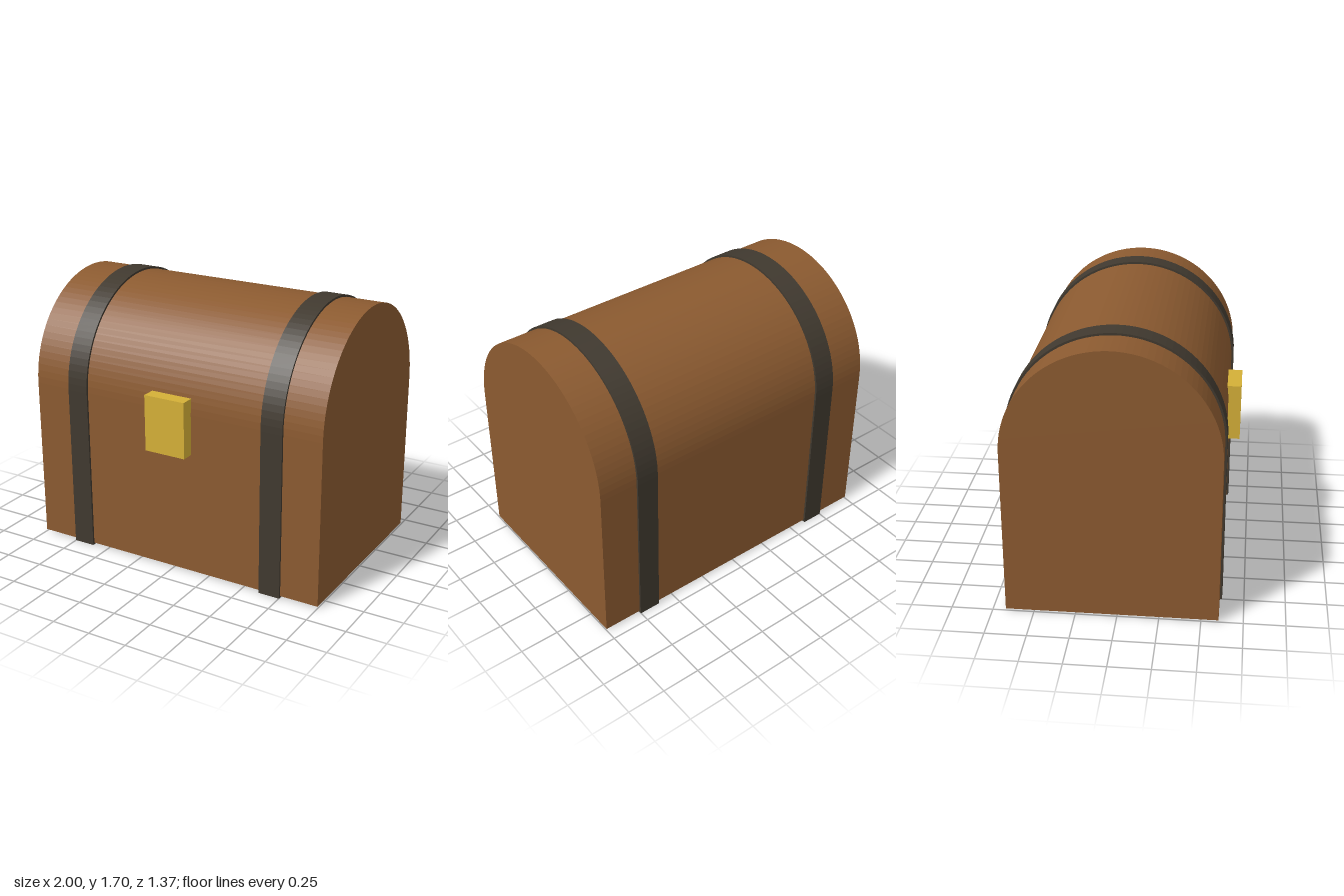
import * as THREE from 'three';

const wood = new THREE.MeshStandardMaterial({ name: 'brown wood', color: 0x8b5a30 });
const iron = new THREE.MeshStandardMaterial({ name: 'dark iron', color: 0x40392f });
const brass = new THREE.MeshStandardMaterial({ name: 'brass', color: 0xd4af37 });

const CENTER_Z = -0.033; // the lock protrudes, so the chest sits slightly back
const SPRING_Y = 1.05; // height where the rounded lid begins

// Upright box outline with a half-round top
function archPath(path, radius, bottom) {
  path.moveTo(-radius, bottom);
  path.lineTo(radius, bottom);
  path.lineTo(radius, SPRING_Y);
  path.absarc(0, SPRING_Y, radius, 0, Math.PI, false);
  path.closePath();
  return path;
}

// Extrude an outline along x, centred on the given x
function extrudeAlongX(name, shape, width, x, material) {
  const geometry = new THREE.ExtrudeGeometry(shape, { depth: width, bevelEnabled: false, curveSegments: 24 });
  geometry.translate(0, 0, -width / 2);
  geometry.rotateY(Math.PI / 2);
  const mesh = new THREE.Mesh(geometry, material);
  mesh.name = name;
  mesh.position.set(x, 0, CENTER_Z);
  return mesh;
}

export function createModel() {
  const chest = new THREE.Group();
  chest.name = 'chest';

  // Body and rounded lid in one solid
  chest.add(extrudeAlongX('body', archPath(new THREE.Shape(), 0.637, 0.012), 2, 0, wood));

  // Iron bands wrapping all the way round
  for (const [name, side] of [['leftBand', 1], ['rightBand', -1]]) {
    const outline = archPath(new THREE.Shape(), 0.65, 0);
    outline.holes.push(archPath(new THREE.Path(), 0.63, 0.02));
    chest.add(extrudeAlongX(name, outline, 0.14, side * 0.682, iron));
  }

  // Lock plate on the front
  const lock = new THREE.Mesh(new THREE.BoxGeometry(0.274, 0.356, 0.136), brass);
  lock.name = 'lock';
  lock.position.set(0, 0.973, 0.615);
  chest.add(lock);

  return chest;
}
